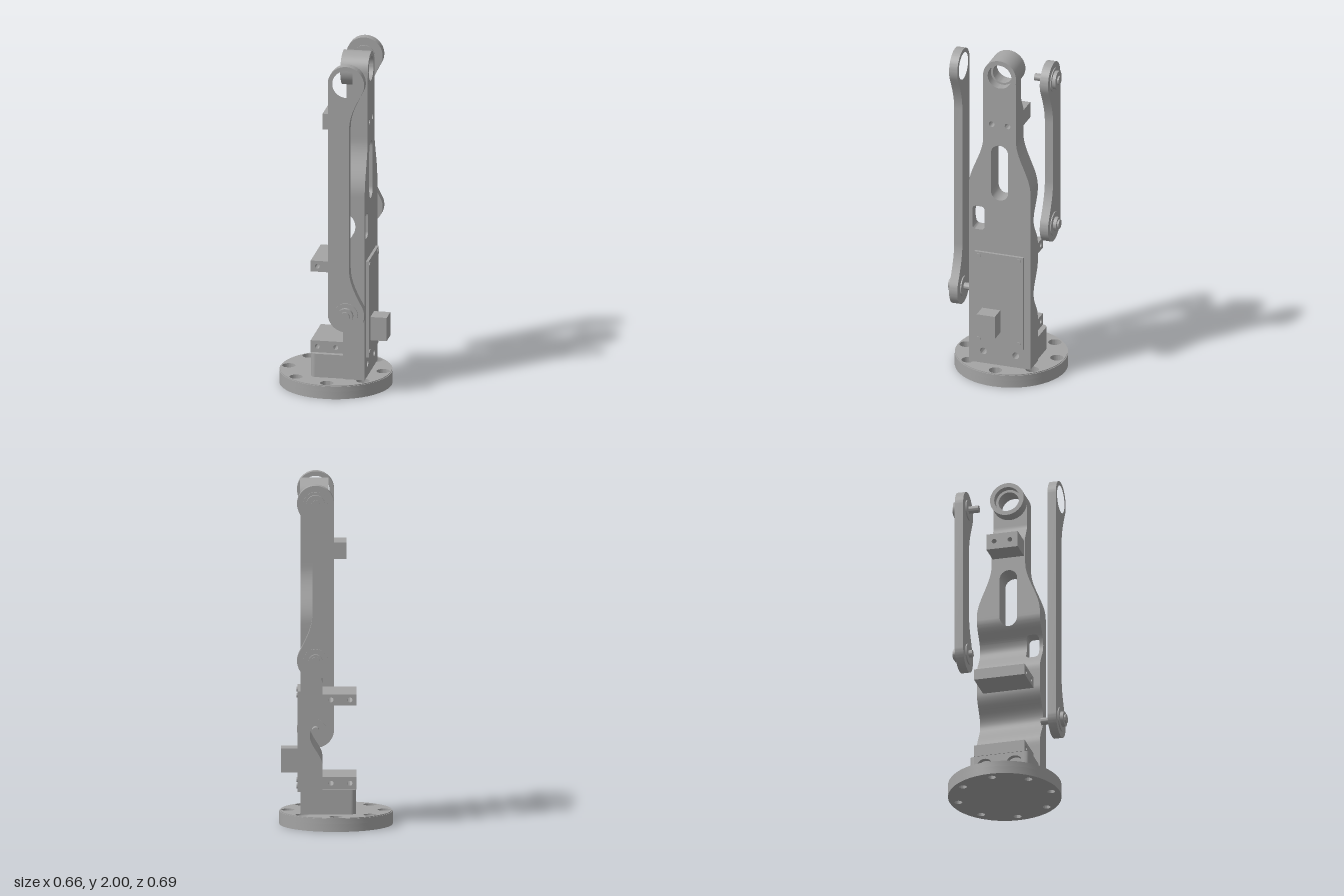
import * as THREE from 'three';
import { toCreasedNormals } from 'three/addons/utils/BufferGeometryUtils.js';

const grey = new THREE.MeshStandardMaterial({ color: 0xa4a4a4 });
grey.name = 'machinedGrey';

export function createModel() {
  const model = new THREE.Group();
  model.name = 'linkageArm';
  const arm = new THREE.Group();
  arm.name = 'armAssembly';
  arm.rotation.y = THREE.MathUtils.degToRad(61.5);
  arm.position.set(-0.006, 0, -0.0235);
  model.add(arm);

  const add = (name, geo, parent = arm) => {
    const m = new THREE.Mesh(toCreasedNormals(geo, 0.6), grey);
    m.name = name;
    parent.add(m);
    return m;
  };
  const box = (name, x0, x1, y0, y1, z0, z1) => add(name,
    new THREE.BoxGeometry(x1 - x0, y1 - y0, z1 - z0).translate((x0 + x1) / 2, (y0 + y1) / 2, (z0 + z1) / 2));
  // Cylinder between two positions on an axis; u and v place it across that axis
  const rodX = (name, x0, x1, y, z, r) => add(name,
    new THREE.CylinderGeometry(r, r, x1 - x0, 32).rotateZ(Math.PI / 2).translate((x0 + x1) / 2, y, z));
  const rodZ = (name, z0, z1, x, y, r) => add(name,
    new THREE.CylinderGeometry(r, r, z1 - z0, 24).rotateX(Math.PI / 2).translate(x, y, (z0 + z1) / 2));
  const punch = (shape, x, y, r) => {
    shape.holes.push(new THREE.Path().absarc(x, y, r, 0, Math.PI * 2, true));
    return shape;
  };
  const rect = (x0, x1, y0, y1) => new THREE.Shape([[x0, y0], [x1, y0], [x1, y1], [x0, y1]].map(p => new THREE.Vector2(...p)));
  const extrude = (shape, depth) => new THREE.ExtrudeGeometry(shape, { depth, bevelEnabled: false, curveSegments: 24 });
  // Shape drawn in (z, y), extruded from x0 to x1
  const extrudeX = (name, shape, x0, x1) => add(name, extrude(shape, x1 - x0).rotateY(-Math.PI / 2).translate(x1, 0, 0));

  // Base flange with eight counterbored holes
  const flange = (name, y0, y1, R, holeR) => {
    const s = new THREE.Shape().absarc(0, 0, R, 0, Math.PI * 2);
    for (let i = 0; i < 8; i++) {
      const a = i * Math.PI / 4;
      punch(s, 0.275 * Math.cos(a), 0.275 * Math.sin(a), holeR);
    }
    add(name, extrude(s, y1 - y0).rotateX(-Math.PI / 2).translate(0, y0, 0));
  };
  flange('flangeLower', 0, 0.045, 0.325, 0.022);
  flange('flangeUpper', 0.045, 0.075, 0.325, 0.038);
  flange('flangeRim', 0.075, 0.08, 0.32, 0.038);

  add('mainBody', bodyGeometry());

  // Bearing housing at the top, bored with an inner lip
  const bore = [[0.075, 0.044], [0.1, 0.044], [0.1, 0.205], [0.072, 0.205], [0.072, 0.15], [0.06, 0.15], [0.06, 0.085], [0.075, 0.085], [0.075, 0.044]];
  add('bearingHousing', new THREE.LatheGeometry(bore.map(p => new THREE.Vector2(...p)), 48).rotateX(Math.PI / 2).translate(0, 1.9, 0));

  // Front cover plate, its screws and the connector
  box('coverPlate', -0.148, 0.148, 0.205, 0.785, 0.2, 0.22);
  for (const x of [-0.122, 0.122]) for (const y of [0.235, 0.76]) rodZ('coverScrew', 0.21, 0.225, x, y, 0.014);
  box('connectorBlock', -0.1, 0.01, 0.295, 0.435, 0.215, 0.315);

  // Rear shelves with side holes
  for (const [name, y0, y1] of [['lowerShelf', 0.22, 0.29], ['middleShelf', 0.705, 0.77]]) {
    const s = rect(-0.118, 0.09, y0, y1);
    for (const z of [-0.08, 0.028]) punch(s, z, (y0 + y1) / 2, 0.014);
    extrudeX(name, s, -0.15, 0.15);
  }

  // Upper rear block
  const upper = rect(-0.093, 0.093, 1.545, 1.64);
  for (const x of [-0.047, 0.047]) punch(upper, x, 1.593, 0.014);
  add('upperBlock', extrude(upper, 0.14).translate(0, 0, -0.06));

  // Foot bracket with rounded rear corners and two recessed bolts
  box('footBracket', -0.18, 0.18, 0.08, 0.22, -0.085, 0.08);
  const footBack = rect(-0.15, 0.15, 0.08, 0.22);
  for (const x of [-0.088, 0.088]) {
    punch(footBack, x, 0.152, 0.048);
    rodZ('footBolt', -0.102, -0.08, x, 0.152, 0.028);
  }
  add('footBack', extrude(footBack, 0.03).translate(0, 0, -0.115));
  for (const x of [-0.15, 0.15])
    add('footCorner', new THREE.CylinderGeometry(0.03, 0.03, 0.14, 24).translate(x, 0.15, -0.085));

  // Side links: straight rear edge, waisted front edge
  const zc = 0.117, R = 0.106;
  const linkShape = (yb, yt) => {
    const s = new THREE.Shape(), a = 0.45, w = 0.018;
    const ex = R * Math.cos(a), ey = R * Math.sin(a), k = 0.06;
    s.moveTo(zc - R, yb);
    s.lineTo(zc - R, yt);
    s.absarc(zc, yt, R, Math.PI, -a, true);
    s.bezierCurveTo(zc + ex - k * Math.sin(a), yt - ey - k * Math.cos(a), zc + w, yt - 0.18, zc + w, yt - 0.27);
    s.lineTo(zc + w, yb + 0.27);
    s.bezierCurveTo(zc + w, yb + 0.18, zc + ex - k * Math.sin(a), yb + ey + k * Math.cos(a), zc + ex, yb + ey);
    s.absarc(zc, yb, R, a, -Math.PI, true);
    return s;
  };
  extrudeX('longLink', punch(linkShape(0.505, 1.893), zc, 1.893, 0.08), -0.3, -0.25);
  extrudeX('shortLink', linkShape(0.985, 1.893), 0.25, 0.3);

  // Stepped pivots: inner pin, flanges and outer cap
  const pivot = (side, y, pinEnd, capR) => {
    const part = (name, a, b, r) => rodX(name, Math.min(side * a, side * b), Math.max(side * a, side * b), y, zc, r);
    part('pivotPin', pinEnd, 0.26, 0.021);
    part('pivotInnerFlange', 0.243, 0.26, 0.06);
    part('pivotOuterFlange', 0.29, 0.306, 0.07);
    part('pivotCap', 0.3, 0.326, capR);
    part('pivotTip', 0.32, 0.336, 0.026);
  };
  pivot(-1, 0.505, 0.185, 0.044);
  pivot(1, 1.893, 0.185, 0.054);
  pivot(1, 0.985, 0.222, 0.04);

  return model;
}

// Body built from horizontal rows, split around its through holes
function bodyGeometry() {
  const front = 0.204, top = 1.9, bottom = 0.08;
  const smooth = THREE.MathUtils.smoothstep;
  const width = y => 0.187 - 0.087 * smooth(y, 1.19, 1.5);
  const scallop = (y, a, b) => y > a && y < b ? 0.073 * (1 - Math.cos(2 * Math.PI * (y - a) / (b - a))) / 2 : 0;
  const back = y => 0.077 + scallop(y, 0.36, 0.71) + scallop(y, 0.83, 1.17)
    + 0.04 * THREE.MathUtils.clamp((y - 1.66) / 0.08, 0, 1);
  // Rounded hole: centre, half width, half height, corner radius
  const hole = (x, y, hw, hh, r) => ({
    x, lo: y - hh, hi: y + hh, r, y,
    end: hw - r,
    half(v) {
      const d = Math.max(0, Math.abs(v - y) - (hh - r));
      return hw - r + Math.sqrt(Math.max(0, r * r - d * d));
    },
  });
  const holes = [
    hole(-0.098, 0.155, 0.02, 0.02, 0.02), hole(0.098, 0.155, 0.02, 0.02, 0.02),
    hole(-0.128, 0.992, 0.037, 0.073, 0.022), hole(0, 1.293, 0.052, 0.173, 0.052),
    hole(-0.048, 1.595, 0.017, 0.017, 0.017), hole(0.048, 1.595, 0.017, 0.017, 0.017),
    hole(0, 1.9, 0.085, 0.085, 0.085),
  ];
  let ys = [];
  for (let i = 0; i <= 91; i++) ys.push(bottom + (top - bottom) * i / 91);
  for (const h of holes) for (let i = 0; i <= 6; i++) {
    const d = h.r * (1 - Math.cos(i * Math.PI / 12));
    ys.push(h.lo + d, h.hi - d);
  }
  ys = ys.filter(y => y <= top).sort((a, b) => a - b).filter((y, i, l) => i === 0 || y - l[i - 1] > 1e-5);

  const pos = [];
  const tri = (a, b, c) => {
    const n = new THREE.Vector3().subVectors(b, a).cross(new THREE.Vector3().subVectors(c, a));
    if (n.length() > 1e-10) for (const p of [a, b, c]) pos.push(p.x, p.y, p.z);
  };
  const quad = (...q) => {
    const [a, b, c, d] = q.map(p => new THREE.Vector3(...p));
    tri(a, b, c);
    tri(a, c, d);
  };
  for (let i = 0; i + 1 < ys.length; i++) {
    const y0 = ys[i], y1 = ys[i + 1], mid = (y0 + y1) / 2, b0 = back(y0), b1 = back(y1), f = front;
    const open = holes.filter(h => mid > h.lo && mid < h.hi).sort((a, b) => a.x - b.x);
    const edges = y => [-width(y), ...open.flatMap(h => [h.x - h.half(y), h.x + h.half(y)]), width(y)];
    const e0 = edges(y0), e1 = edges(y1);
    for (let k = 0; k < e0.length; k += 2) {
      const l0 = e0[k], r0 = e0[k + 1], l1 = e1[k], r1 = e1[k + 1];
      quad([l0, y0, f], [r0, y0, f], [r1, y1, f], [l1, y1, f]);
      quad([r0, y0, b0], [l0, y0, b0], [l1, y1, b1], [r1, y1, b1]);
      quad([l0, y0, b0], [l0, y0, f], [l1, y1, f], [l1, y1, b1]);
      quad([r0, y0, f], [r0, y0, b0], [r1, y1, b1], [r1, y1, f]);
    }
  }
  // Flat ends of squared holes
  for (const h of holes) if (h.end > 1e-6) {
    const l = h.x - h.end, r = h.x + h.end, f = front;
    quad([l, h.lo, f], [r, h.lo, f], [r, h.lo, back(h.lo)], [l, h.lo, back(h.lo)]);
    quad([l, h.hi, back(h.hi)], [r, h.hi, back(h.hi)], [r, h.hi, f], [l, h.hi, f]);
  }
  const g = new THREE.BufferGeometry();
  g.setAttribute('position', new THREE.Float32BufferAttribute(pos, 3));
  g.computeVertexNormals();
  return g;
}
